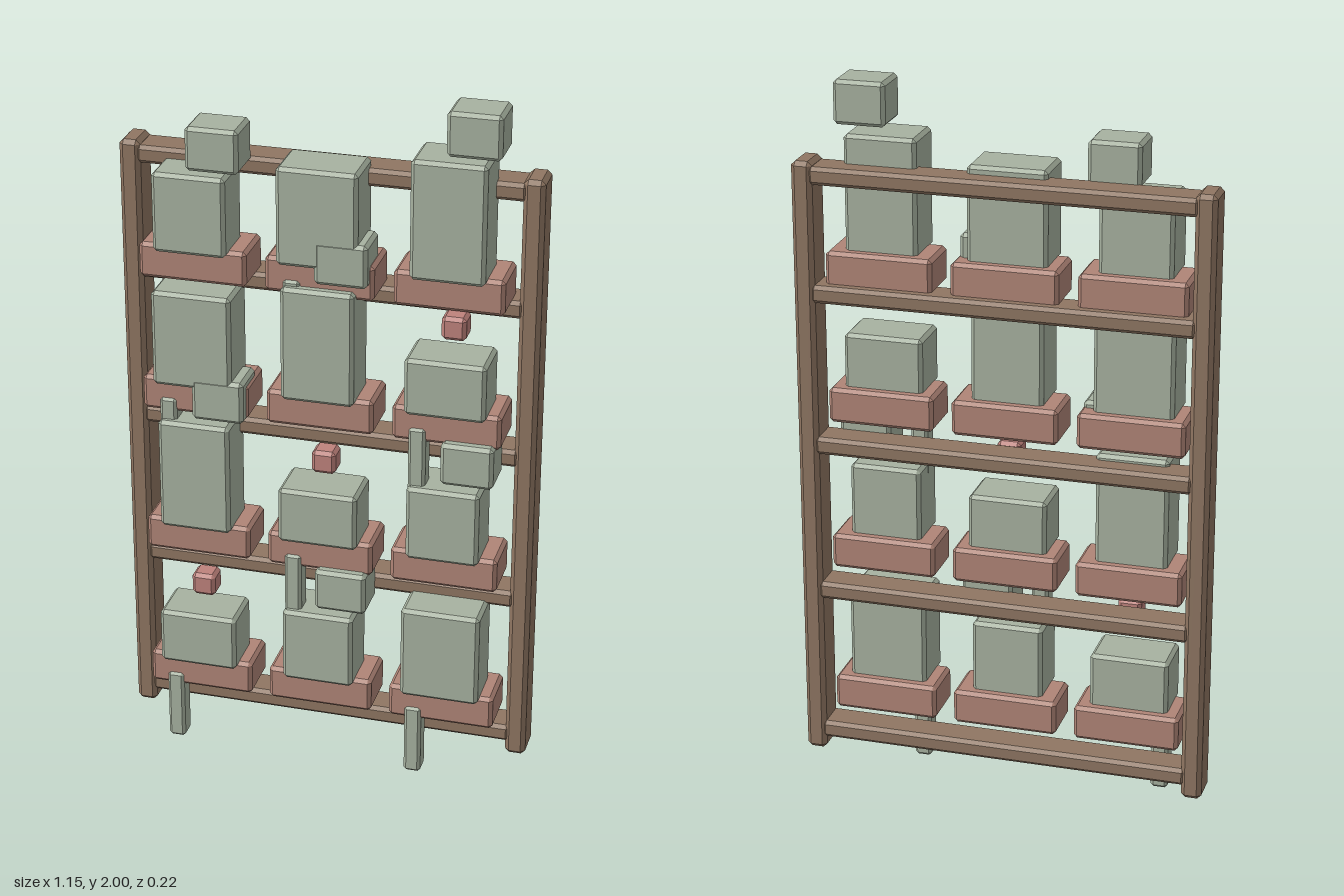
import * as THREE from 'three';
import { ConvexGeometry } from 'three/addons/geometries/ConvexGeometry.js';

const material = (color) => new THREE.MeshStandardMaterial({ color, flatShading: true });

// Box with single-facet chamfered edges
function chamferBox(w, h, d, c) {
  const pts = [];
  for (const x of [-w / 2, w / 2]) for (const y of [-h / 2, h / 2]) for (const z of [-d / 2, d / 2]) {
    const [ix, iy, iz] = [x - Math.sign(x) * c, y - Math.sign(y) * c, z - Math.sign(z) * c];
    pts.push(new THREE.Vector3(x, iy, iz), new THREE.Vector3(ix, y, iz), new THREE.Vector3(ix, iy, z));
  }
  return new ConvexGeometry(pts);
}

export function createModel() {
  const group = new THREE.Group();
  const wood = material(0x8f7662);
  const clay = material(0xb08577);
  const leaf = material(0xa7b2a0);
  const bloom = material(0xbe827c);

  // Adds a chamfered block centred on x, standing between y0 and y1 and z0 and z1
  function block(name, mat, x, w, y0, y1, z0, z1, c = 0.01) {
    const mesh = new THREE.Mesh(chamferBox(w, y1 - y0, z1 - z0, c), mat);
    mesh.position.set(x, (y0 + y1) / 2, (z0 + z1) / 2);
    mesh.name = name;
    group.add(mesh);
  }

  // Frame: two posts and five rails
  for (const side of [-1, 1]) block('post', wood, side * 0.548, 0.058, 0.05, 1.79, -0.108, -0.005, 0.012);
  for (const y of [0.112, 0.548, 0.984, 1.422, 1.752]) {
    block('rail', wood, 0, 1.06, y - 0.025, y + 0.025, -0.106, -0.008);
  }

  // Pots with a block of foliage each; foliage tops are listed left to right
  const rows = [
    { pot: 0.223, tops: [0.425, 0.48, 0.537] },
    { pot: 0.661, tops: [1.025, 0.862, 0.917] },
    { pot: 1.096, tops: [1.41, 1.462, 1.298] },
    { pot: 1.487, tops: [1.75, 1.80, 1.857] },
  ];
  rows.forEach(({ pot, tops }, r) => tops.forEach((top, c) => {
    const x = (c - 1) * 0.35 - 0.002;
    block('planter', clay, x, 0.298, pot - 0.05, pot + 0.05, -0.075, 0.075);
    const width = (r + c) % 2 ? 0.202 : 0.222;
    block('foliage', leaf, x, width, pot + 0.038, top, -0.046, 0.102);
  }));

  // Small leaf clumps
  for (const [x, y] of [[-0.285, 1.825], [0.412, 1.935], [0.063, 1.543], [-0.281, 1.104], [0.412, 1.0], [0.063, 0.562]]) {
    block('leafClump', leaf, x, 0.145, y - 0.061, y + 0.061, -0.022, 0.103);
  }

  // Trailing stems
  for (const [x, top] of [[-0.428, 0.212], [0.27, 0.212], [-0.077, 0.65], [-0.428, 1.087], [0.27, 1.087], [-0.077, 1.477]]) {
    block('trailingStem', leaf, x, 0.048, top - 0.212, top, 0.022, 0.082, 0.008);
  }

  // Flower buds
  for (const [x, y] of [[-0.33, 0.53], [0.018, 0.962], [0.37, 1.401]]) {
    block('flowerBud', bloom, x, 0.067, y - 0.033, y + 0.033, 0.04, 0.108);
  }
  return group;
}
